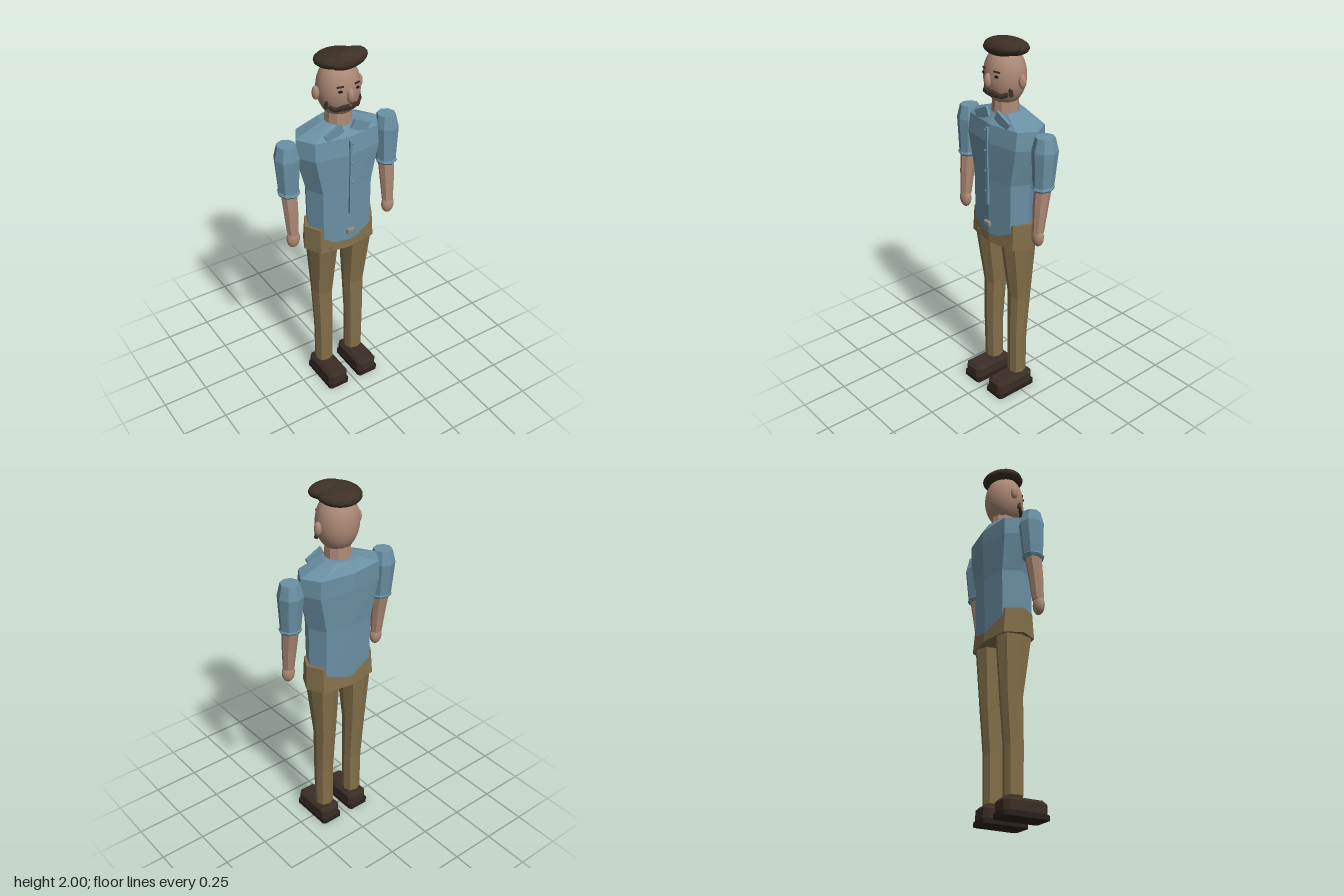
import * as THREE from 'three';
import { RoundedBoxGeometry } from 'three/addons/geometries/RoundedBoxGeometry.js';

const COLORS = {
  shirt: 0x6b91a5, skin: 0xac8975, trousers: 0x83704a,
  hair: 0x3d3025, shoe: 0x3a2d26, sole: 0x2a201c, metal: 0x8a8a86, eye: 0x1c1714,
};
const mats = {};
function mat(key, flat) {
  const id = key + flat;
  return (mats[id] ??= new THREE.MeshStandardMaterial({ color: COLORS[key], flatShading: flat }));
}

function add(parent, name, geo, key, pos = [0, 0, 0], rot = [0, 0, 0], flat = false) {
  const m = new THREE.Mesh(geo, mat(key, flat));
  m.name = name;
  m.position.set(...pos);
  m.rotation.set(...rot);
  parent.add(m);
  return m;
}

// Eight-sided loft through rings [y, rx, rz, cx, cz]; bulge < 1 squares the section
function loft(rings, bulge = 1, n = 8) {
  const pos = [], idx = [];
  const pw = (v) => (Math.abs(v) < 1e-6 ? 0 : Math.sign(v) * Math.abs(v) ** bulge);
  for (const [y, rx, rz, cx = 0, cz = 0] of rings) {
    for (let i = 0; i < n; i++) {
      const a = (i / n) * Math.PI * 2;
      pos.push(cx + rx * pw(Math.sin(a)), y, cz + rz * pw(Math.cos(a)));
    }
  }
  for (let r = 0; r < rings.length - 1; r++) {
    for (let i = 0; i < n; i++) {
      const a = r * n + i, b = r * n + ((i + 1) % n);
      idx.push(a, b, b + n, a, b + n, a + n);
    }
  }
  const top = (rings.length - 1) * n;
  for (let i = 1; i < n - 1; i++) {
    idx.push(0, i + 1, i, top, top + i, top + i + 1);
  }
  const g = new THREE.BufferGeometry();
  g.setAttribute('position', new THREE.Float32BufferAttribute(pos, 3));
  g.setIndex(idx);
  g.computeVertexNormals();
  return g;
}

function ellipsoid(rx, ry, rz, w = 24, h = 16) {
  return new THREE.SphereGeometry(1, w, h).scale(rx, ry, rz);
}

function buildTorso(root) {
  const torso = new THREE.Group();
  torso.name = 'torso';
  root.add(torso);
  add(torso, 'shirt', loft([
    [0.97, 0.183, 0.112, 0, -0.02],
    [1.28, 0.187, 0.117, 0, -0.022],
    [1.48, 0.24, 0.125, 0, -0.024],
    [1.575, 0.235, 0.118, 0, -0.03],
    [1.63, 0.085, 0.078, 0, -0.036],
  ], 0.78), 'shirt', undefined, undefined, true);
  add(torso, 'trouserHips', loft([
    [0.92, 0.207, 0.115, 0, -0.022],
    [1.06, 0.202, 0.103, 0, -0.02],
  ], 0.72), 'trousers', undefined, undefined, true);

  // Button strip, buttons and buckle
  add(torso, 'placket', new THREE.BoxGeometry(0.016, 0.42, 0.012), 'shirt', [0, 1.35, 0.099], [0, 0, 0], true);
  for (const y of [1.22, 1.33, 1.44, 1.55]) {
    add(torso, 'button', ellipsoid(0.007, 0.007, 0.005, 10, 8), 'shirt', [0, y, 0.112]);
  }
  add(torso, 'buckle', new RoundedBoxGeometry(0.045, 0.03, 0.02, 2, 0.006), 'metal', [0, 1.03, 0.1]);

  // Collar flaps
  for (const s of [1, -1]) {
    add(torso, 'collarFlap', new THREE.BoxGeometry(0.1, 0.05, 0.014), 'shirt',
      [s * 0.075, 1.605, 0.064], [0, 0, -s * 0.45], true);
  }
}

function buildArm(root, s) {
  const arm = new THREE.Group();
  arm.name = s > 0 ? 'leftArm' : 'rightArm';
  root.add(arm);
  const x = s * 0.291;
  add(arm, 'sleeve', loft([
    [1.3, 0.052, 0.052, x, -0.015],
    [1.5, 0.065, 0.067, x, -0.022],
    [1.57, 0.048, 0.05, x, -0.022],
  ]), 'shirt', undefined, undefined, true);
  add(arm, 'rolledCuff', new THREE.TorusGeometry(0.046, 0.013, 6, 8).rotateX(Math.PI / 2),
    'shirt', [x, 1.31, -0.014], [0.1, 0, 0], true);
  add(arm, 'forearm', loft([
    [1.07, 0.03, 0.03, x, 0.012],
    [1.2, 0.038, 0.039, x, 0],
    [1.31, 0.043, 0.045, x, -0.014],
  ]), 'skin', undefined, undefined, true);
  add(arm, 'hand', ellipsoid(0.036, 0.052, 0.028, 16, 12), 'skin', [x, 1.042, 0.015]);
}

function buildLeg(root, s) {
  const leg = new THREE.Group();
  leg.name = s > 0 ? 'leftLeg' : 'rightLeg';
  root.add(leg);
  add(leg, 'trouserLeg', loft([
    [0.105, 0.048, 0.048, s * 0.098, -0.022],
    [0.35, 0.05, 0.05, s * 0.099, -0.021],
    [0.6, 0.056, 0.059, s * 0.1, -0.033],
    [0.95, 0.077, 0.1, s * 0.104, -0.02],
  ], 0.85), 'trousers', undefined, undefined, true);

  // Shoe upper with chamfered top edges over a flat sole
  const outline = (w, d) => new THREE.Shape([
    [-w, -d + 0.012], [-w + 0.012, -d], [w - 0.012, -d], [w, -d + 0.012],
    [w, d - 0.012], [w - 0.012, d], [-w + 0.012, d], [-w, d - 0.012],
  ].map(([a, b]) => new THREE.Vector2(a, b)));
  const upper = new THREE.ExtrudeGeometry(outline(0.042, 0.104), {
    depth: 0.05, bevelSize: 0.018, bevelThickness: 0.018, bevelSegments: 1,
  }).rotateX(-Math.PI / 2);
  add(leg, 'shoeUpper', upper, 'shoe', [s * 0.097, 0.027, 0.025], [0, 0, 0], true);
  const sole = new THREE.ExtrudeGeometry(outline(0.063, 0.125), {
    depth: 0.025, bevelEnabled: false,
  }).rotateX(-Math.PI / 2);
  add(leg, 'shoeSole', sole, 'sole', [s * 0.097, 0, 0.025], [0, 0, 0], true);
}

function buildHead(root) {
  const head = new THREE.Group();
  head.name = 'head';
  root.add(head);
  add(head, 'neck', new THREE.CylinderGeometry(0.063, 0.073, 0.11, 10), 'skin', [0, 1.655, -0.02], [0, 0, 0], true);

  // Egg-shaped skull with a flattened chin
  const skull = ellipsoid(0.11, 0.15, 0.105, 32, 24);
  const p = skull.attributes.position;
  for (let i = 0; i < p.count; i++) p.setY(i, Math.max(p.getY(i), -0.127));
  skull.computeVertexNormals();
  add(head, 'skull', skull, 'skin', [0, 1.805, -0.017]);
  add(head, 'nose', ellipsoid(0.018, 0.037, 0.022, 14, 10), 'skin', [0, 1.797, 0.088]);

  // Paired features
  for (const s of [1, -1]) {
    add(head, 'ear', ellipsoid(0.018, 0.036, 0.02, 14, 10), 'skin', [s * 0.122, 1.798, -0.023]);
    add(head, 'eye', ellipsoid(0.013, 0.007, 0.008, 12, 8), 'eye', [s * 0.046, 1.823, 0.076]);
    add(head, 'eyebrow', new THREE.BoxGeometry(0.034, 0.008, 0.012), 'hair',
      [s * 0.046, 1.846, 0.072], [0, s * 0.4, -s * 0.1], true);
    add(head, 'sideburn', new RoundedBoxGeometry(0.014, 0.06, 0.022, 2, 0.006), 'hair',
      [s * 0.091, 1.752, 0.024], [0, 0, s * 0.25]);
    const curve = new THREE.CatmullRomCurve3([
      [0, 1.742, 0.086], [s * 0.035, 1.738, 0.077], [s * 0.06, 1.725, 0.058], [s * 0.076, 1.733, 0.04],
    ].map((v) => new THREE.Vector3(...v)));
    add(head, 'moustacheHalf', new THREE.TubeGeometry(curve, 16, 0.012, 8), 'hair');
    add(head, 'moustacheTip', ellipsoid(0.012, 0.014, 0.012, 10, 8), 'hair', [s * 0.076, 1.733, 0.04]);
  }
  add(head, 'lowerLip', ellipsoid(0.055, 0.01, 0.022, 16, 8), 'hair', [0, 1.721, 0.062]);

  // Swept hair: a cap behind and a quiff in front
  add(head, 'hairCap', ellipsoid(0.114, 0.044, 0.108), 'hair', [0, 1.944, -0.028], [-0.12, 0, 0]);
  add(head, 'hairQuiff', ellipsoid(0.109, 0.043, 0.062), 'hair', [0.027, 1.956, 0.026], [0.05, 0.12, 0.08]);
}

export function createModel() {
  const root = new THREE.Group();
  root.name = 'standingMan';
  buildTorso(root);
  buildHead(root);
  for (const s of [1, -1]) {
    buildArm(root, s);
    buildLeg(root, s);
  }
  return root;
}
